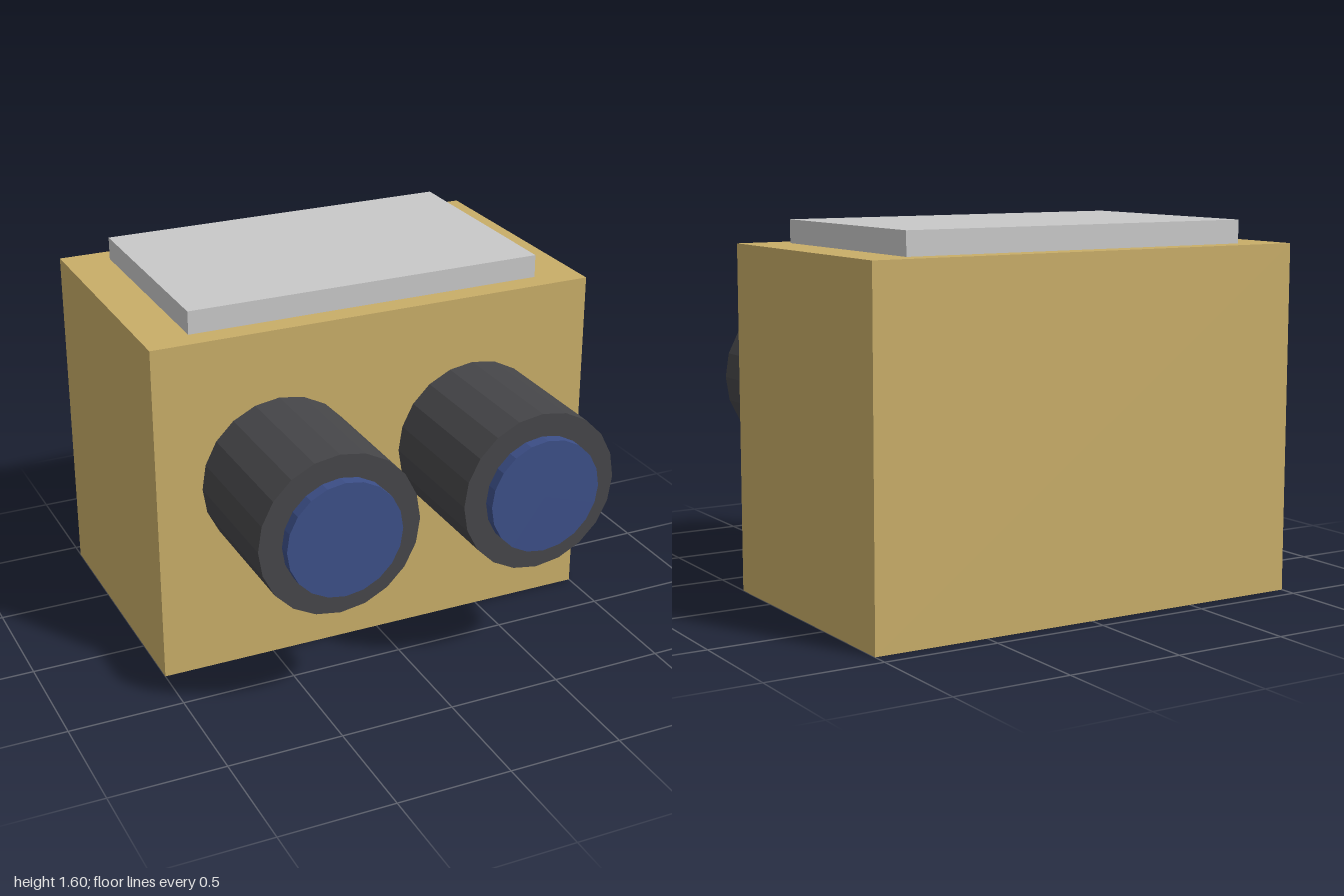
import * as THREE from 'three';

const material = (name, color, flatShading = true) => {
  const m = new THREE.MeshStandardMaterial({ color, flatShading });
  m.name = name;
  return m;
};

export function createModel() {
  const model = new THREE.Group();
  model.name = 'twinBarrelBox';

  const tan = material('tan', 0xc8ad68);
  const lightGrey = material('lightGrey', 0xc8c8c8);
  const darkGrey = material('darkGrey', 0x464649);
  const blue = material('blue', 0x3c4f88);

  const add = (name, geometry, mat, x, y, z) => {
    const mesh = new THREE.Mesh(geometry, mat);
    mesh.name = name;
    mesh.position.set(x, y, z);
    model.add(mesh);
  };

  // Cylinder lying along z
  const barrel = (radius, length) =>
    new THREE.CylinderGeometry(radius, radius, length, 20).rotateX(Math.PI / 2);

  // Box body and top plate
  add('body', new THREE.BoxGeometry(2, 1.5, 1.2), tan, 0, 0.75, -0.325);
  add('topPlate', new THREE.BoxGeometry(1.6, 0.1, 1), lightGrey, 0, 1.55, -0.325);

  // Two barrels with protruding lenses
  for (const [side, x] of [['left', 0.45], ['right', -0.45]]) {
    add(side + 'Barrel', barrel(0.35, 0.6), darkGrey, x, 0.85, 0.575);
    add(side + 'Lens', barrel(0.25, 0.1), blue, x, 0.85, 0.875);
  }

  return model;
}
